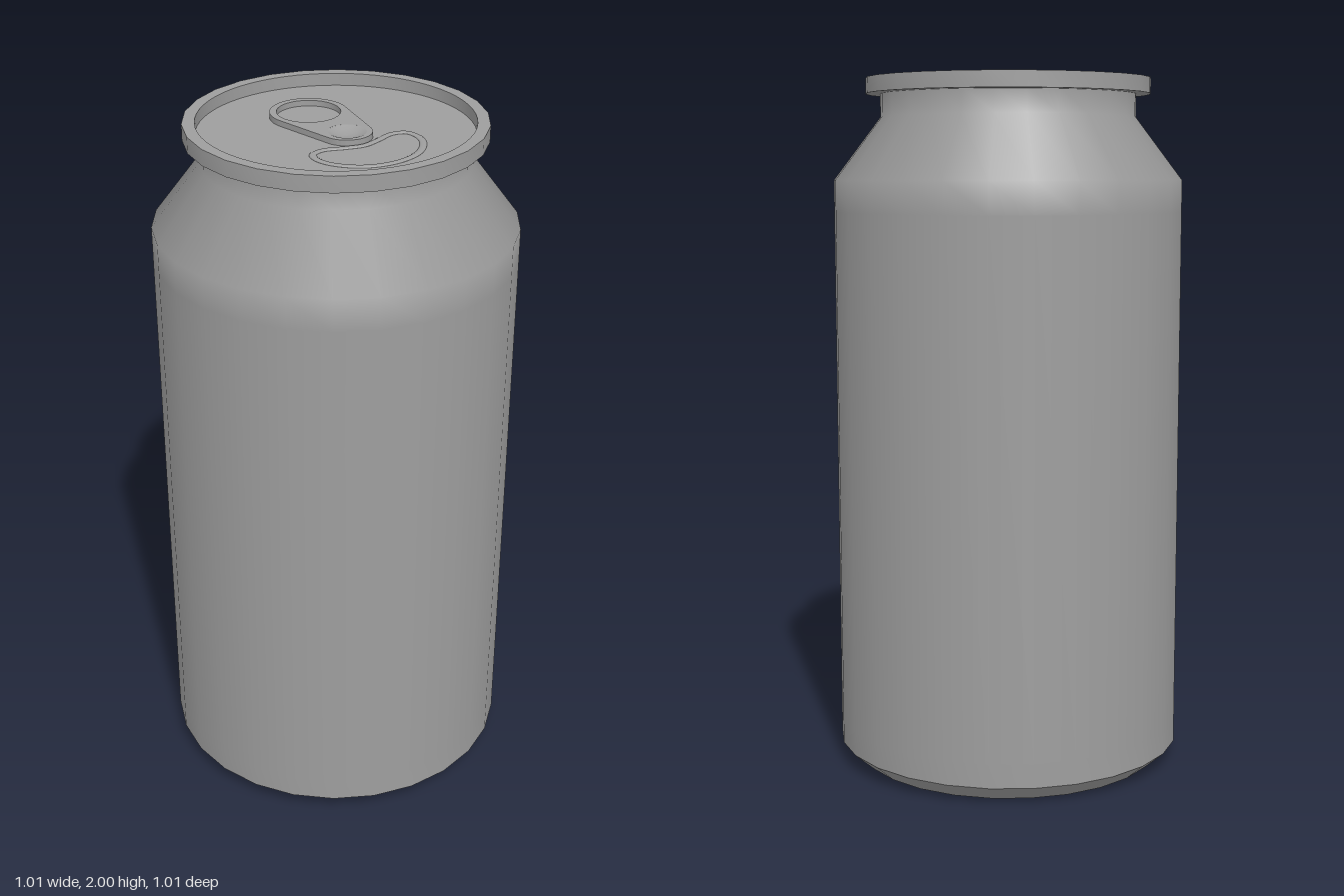
import * as THREE from 'three';
import { toCreasedNormals } from 'three/addons/utils/BufferGeometryUtils.js';

const SIDES = 26;
const LID_Y = 1.965;

export function createModel() {
  const can = new THREE.Group();
  can.name = 'drinkCan';
  const metal = new THREE.MeshStandardMaterial({ color: 0x9e9e9e });

  const add = (name, geometry, y = 0) => {
    const mesh = new THREE.Mesh(geometry, metal);
    mesh.name = name;
    mesh.position.y = y;
    can.add(mesh);
    return mesh;
  };

  const toProfile = (points) => points.map(([r, y]) => new THREE.Vector2(r, y));

  // Lays a flat outline down (shape y becomes -z) and gives it thickness
  const plate = (shape, depth) => {
    const g = new THREE.ExtrudeGeometry(shape, { depth, bevelEnabled: false, curveSegments: 32 });
    g.rotateX(-Math.PI / 2);
    return toCreasedNormals(g, 0.6);
  };

  const circleHole = (x, y, r) => new THREE.Path().absarc(x, y, r, 0, Math.PI * 2, true);

  // Body: domed base, chamfer, straight wall, shoulder and neck
  const profile = toProfile([
    [0, 0.04], [0.16, 0.035], [0.31, 0.02], [0.45, 0], [0.507, 0.05],
    [0.507, 0.12], [0.507, 1.62], [0.507, 1.71], [0.37, 1.89], [0.37, 1.96],
  ]);
  add('body', toCreasedNormals(new THREE.LatheGeometry(profile, SIDES, Math.PI / 2), 0.72));

  // Rim: faceted outside, round inside
  const rimPoints = [];
  for (let i = 0; i < SIDES; i++) {
    const a = (i / SIDES) * Math.PI * 2;
    rimPoints.push(new THREE.Vector2(Math.cos(a) * 0.412, Math.sin(a) * 0.412));
  }
  const rimShape = new THREE.Shape(rimPoints);
  rimShape.holes.push(circleHole(0, 0, 0.377));
  add('rim', plate(rimShape, 0.045), 1.955);

  // Recessed lid, reaching under the rim
  add('lid', new THREE.CylinderGeometry(0.38, 0.38, 0.01, 64), LID_Y - 0.005);

  // Pull tab: two joined circles with a finger hole and a seat for the dimple
  const R = 0.107, r = 0.07, topY = 0.135, lowY = -0.05, dimpleY = -0.053;
  const a = Math.asin((R - r) / (topY - lowY));
  const tabShape = new THREE.Shape();
  tabShape.absarc(0, topY, R, -a, Math.PI + a, false);
  tabShape.absarc(0, lowY, r, Math.PI + a, Math.PI * 2 - a, false);
  tabShape.closePath();
  tabShape.holes.push(circleHole(0, topY, 0.088), circleHole(0, dimpleY, 0.052));
  add('pullTab', plate(tabShape, 0.016), LID_Y);

  // Shallow rivet dimple pressed into the tab
  const dimple = toProfile([[0.0525, 0.016], [0.048, 0.0145], [0.036, 0.009], [0.02, 0.0045], [0, 0.003]]);
  add('rivetDimple', new THREE.LatheGeometry(dimple, 32), LID_Y).position.z = -dimpleY;

  // Mouth outline: low bean-shaped ridge, mirrored about x = 0
  const half = [[0.05, 0.12], [0.11, 0.101], [0.148, 0.113], [0.158, 0.15], [0.142, 0.2], [0.085, 0.255]];
  const loop = [
    [0, 0.132], ...half, [0, 0.276],
    ...half.map(([x, z]) => [-x, z]).reverse(),
  ].map(([x, z]) => new THREE.Vector3(x, 0, z));
  const ridge = new THREE.TubeGeometry(new THREE.CatmullRomCurve3(loop, true), 120, 0.01, 10, true);
  ridge.scale(1, 0.4, 1);
  add('mouthRidge', ridge, LID_Y);

  return can;
}
